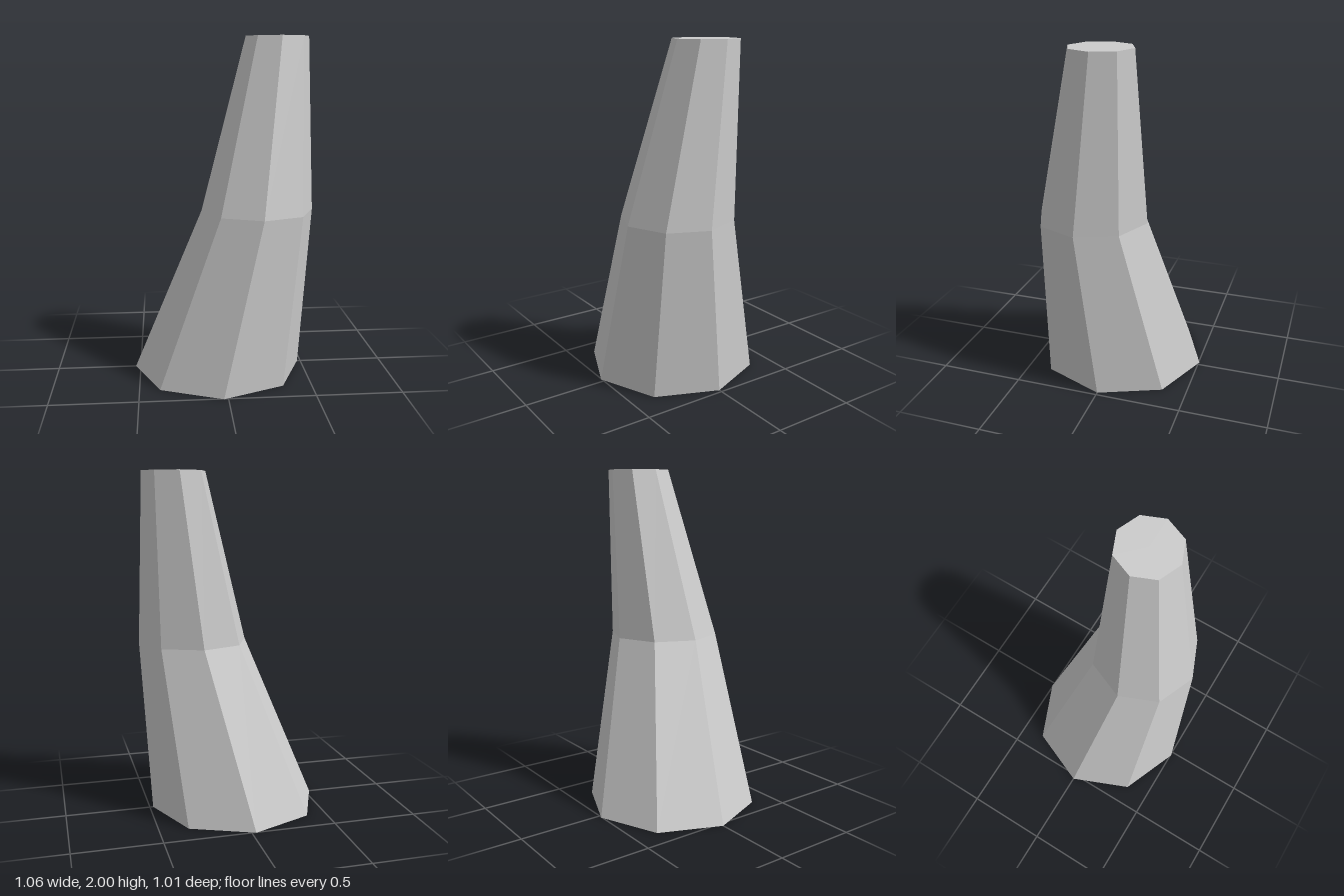
import * as THREE from 'three';

// Octagonal rings from base to tip: centre x, centre z, radius
const RINGS = [
  { x: -0.025, z: 0, r: 0.505 },
  { x: 0.202, z: 0.11, r: 0.327 },
  { x: 0.325, z: 0.01, r: 0.185 },
];

export function createModel() {
  const group = new THREE.Group();
  group.name = 'bentColumn';

  // Tapered, bent trunk: a two-storey cylinder whose rings are shifted and scaled
  const cylinder = new THREE.CylinderGeometry(1, 1, 2, 8, RINGS.length - 1);
  cylinder.translate(0, 1, 0);
  const pos = cylinder.attributes.position;
  for (let i = 0; i < pos.count; i++) {
    const ring = RINGS[Math.round(pos.getY(i))];
    pos.setX(i, ring.x + pos.getX(i) * ring.r);
    pos.setZ(i, ring.z + pos.getZ(i) * ring.r);
  }
  const geometry = cylinder.toNonIndexed();
  geometry.computeVertexNormals();

  const trunk = new THREE.Mesh(
    geometry,
    new THREE.MeshStandardMaterial({ color: 0xcccccc, flatShading: true })
  );
  trunk.name = 'trunk';
  group.add(trunk);
  return group;
}
